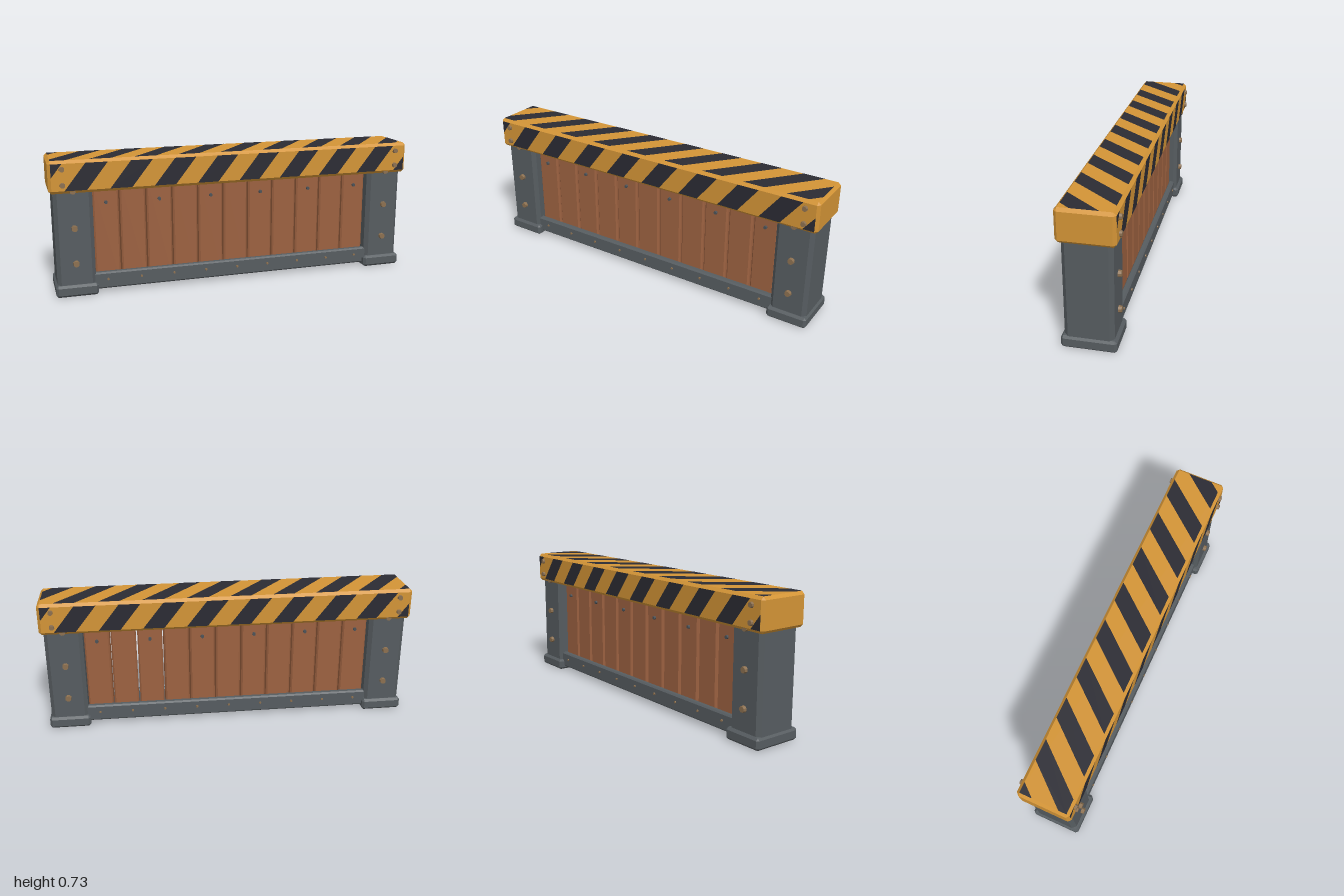
import * as THREE from 'three';
import { ConvexGeometry } from 'three/addons/geometries/ConvexGeometry.js';

const paint = (name, color, extra = {}) => {
  const m = new THREE.MeshStandardMaterial({ color, ...extra });
  m.name = name;
  return m;
};

// Box with cut edges; b is the size of the cut
function chamferBox(w, h, d, b) {
  const pts = [];
  for (const sx of [-1, 1]) for (const sy of [-1, 1]) for (const sz of [-1, 1]) {
    const x = w / 2, y = h / 2, z = d / 2;
    pts.push(new THREE.Vector3(sx * x, sy * (y - b), sz * (z - b)));
    pts.push(new THREE.Vector3(sx * (x - b), sy * y, sz * (z - b)));
    pts.push(new THREE.Vector3(sx * (x - b), sy * (y - b), sz * z));
  }
  return new ConvexGeometry(pts);
}

// Keep the part of a polygon on one side of x = limit
function clipX(poly, limit, side) {
  const out = [];
  poly.forEach((p, i) => {
    const q = poly[(i + 1) % poly.length];
    const pin = side * (p.x - limit) <= 0, qin = side * (q.x - limit) <= 0;
    if (pin) out.push(p);
    if (pin !== qin) out.push(p.clone().lerp(q, (limit - p.x) / (q.x - p.x)));
  });
  return out;
}

// Row of slanted stripes in the xy plane, ending flush at x = +-0.985
function stripeGeometry(height, lean) {
  const pitch = 0.2308, width = 0.113, shapes = [];
  for (let i = -1; i < 10; i++) {
    const right = -0.698 + i * pitch, h = height / 2;
    let poly = [
      [right - lean - width, -h], [right - lean, -h], [right, h], [right - width, h],
    ].map(([x, y]) => new THREE.Vector2(x, y));
    poly = clipX(clipX(poly, 0.985, 1), -0.985, -1);
    if (poly.length > 2) shapes.push(new THREE.Shape(poly));
  }
  return new THREE.ShapeGeometry(shapes);
}

export function createModel() {
  const root = new THREE.Group();
  root.name = 'barrier';
  const yellow = paint('safety yellow', 0xd39436);
  const black = paint('stripe black', 0x2b2b33);
  const steel = paint('slate steel', 0x565c60);
  const wood = paint('brown wood', 0x9c6140);
  const brass = paint('dull brass', 0x8c7050);
  const iron = paint('plank bolt iron', 0x4c5257);
  brass.flatShading = iron.flatShading = true;

  const add = (name, geo, mat, x, y, z, parent = root) => {
    const m = new THREE.Mesh(geo, mat);
    m.name = name;
    m.position.set(x, y, z);
    parent.add(m);
    return m;
  };
  const boltGeo = (r, len) => new THREE.CylinderGeometry(r * 0.88, r, len, 8)
    .rotateY(Math.PI / 8).rotateX(Math.PI / 2);

  // Cap beam
  add('capBeam', chamferBox(2, 0.17, 0.28, 0.015), yellow, 0, 0.64, 0);
  const top = add('topStripes', stripeGeometry(0.25, 0.21), black, 0, 0.7255, 0);
  top.rotation.x = -Math.PI / 2;

  // Posts and feet
  for (const s of [-1, 1]) {
    add('post', chamferBox(0.2, 0.56, 0.24, 0.02), steel, s * 0.88, 0.32, 0);
    add('foot', chamferBox(0.22, 0.063, 0.27, 0.012), steel, s * 0.88, 0.0315, 0);
  }

  // Planks
  const count = 11, step = 1.56 / count;
  const plank = chamferBox(step - 0.008, 0.54, 0.15, 0.008);
  const plankX = (i) => (i - (count - 1) / 2) * step;
  for (let i = 0; i < count; i++) add('plank', plank, wood, plankX(i), 0.31, 0);

  // Details shared by the front and back faces
  const postBolt = boltGeo(0.018, 0.022);
  const capBolt = boltGeo(0.015, 0.018);
  const plankBolt = boltGeo(0.01, 0.016);
  const rivet = boltGeo(0.007, 0.01);
  const rail = chamferBox(1.6, 0.09, 0.035, 0.008);
  const stripes = stripeGeometry(0.14, 0.11);
  for (const turn of [0, Math.PI]) {
    const face = new THREE.Group();
    face.name = turn ? 'backFace' : 'frontFace';
    face.rotation.y = turn;
    root.add(face);
    add('beamStripes', stripes, black, 0, 0.64, 0.1405, face);
    add('bottomRail', rail, steel, 0, 0.065, 0.0875, face);
    for (let i = 0; i < 9; i++) add('railRivet', rivet, brass, (i - 4) * 0.179, 0.072, 0.106, face);
    for (let i = 0; i < count; i += 2) add('plankBolt', plankBolt, iron, plankX(i), 0.484, 0.078, face);
    for (const s of [-1, 1]) {
      for (const y of [0.178, 0.368, 0.565]) add('postBolt', postBolt, brass, s * 0.88, y, 0.126, face);
      for (const y of [0.6, 0.682]) add('capBolt', capBolt, brass, s * 0.93, y, 0.144, face);
    }
  }
  return root;
}
